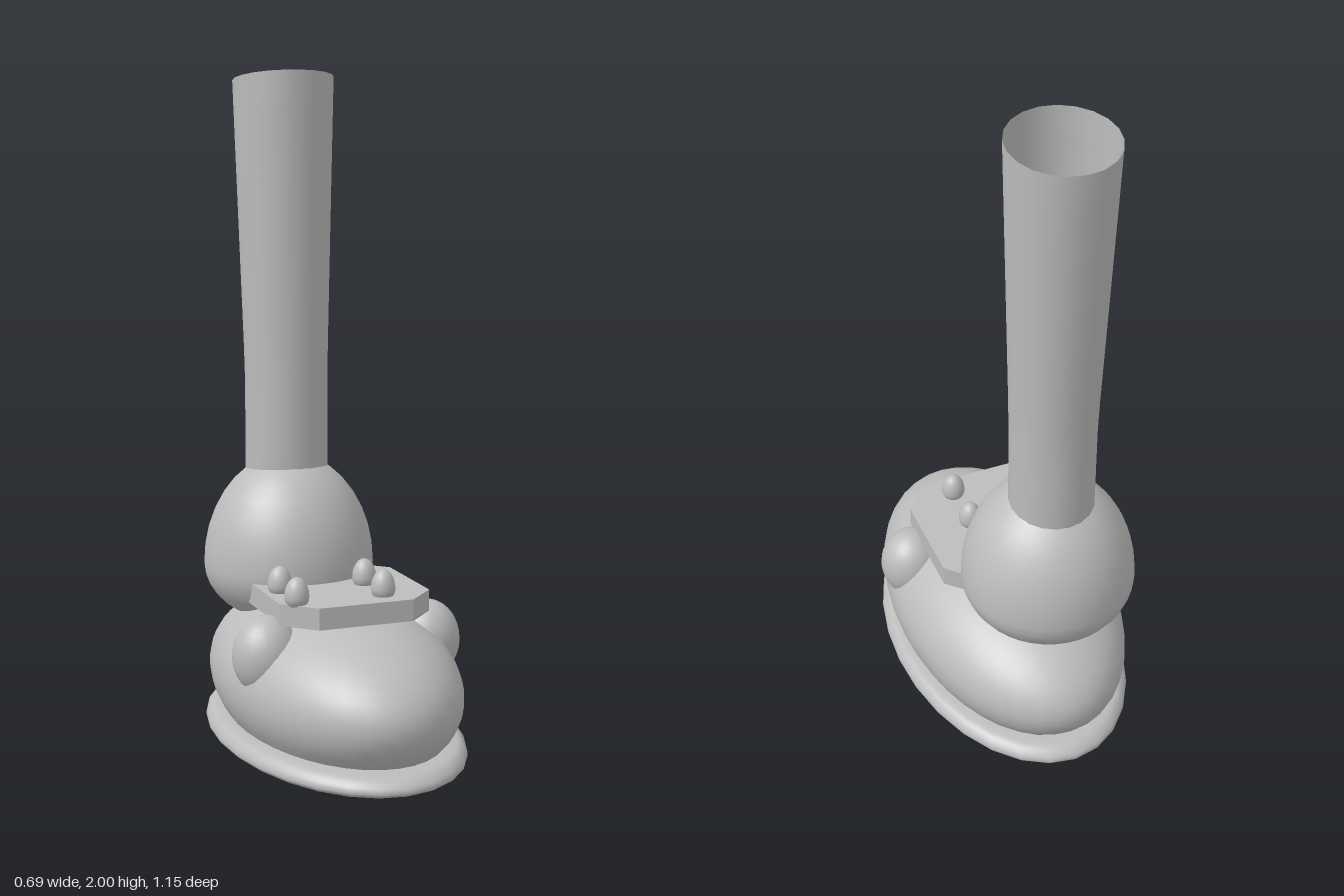
import * as THREE from 'three';

const grey = new THREE.MeshStandardMaterial({ color: 0xbcbcbc });
grey.name = 'grey';
const greyOpen = grey;
greyOpen.side = THREE.DoubleSide;

const vec = (points) => points.map(([x, y]) => new THREE.Vector2(x, y));

// Part of an ellipse as a lathe profile, bottom to top; lower and upper heights differ
function eggProfile(radius, lower, upper, start = -Math.PI / 2, steps = 18) {
  const points = [];
  for (let i = 0; i <= steps; i++) {
    const a = start + (Math.PI / 2 - start) * (i / steps);
    points.push([Math.max(0, radius * Math.cos(a)), (a < 0 ? lower : upper) * Math.sin(a)]);
  }
  return vec(points);
}

export function createModel() {
  const group = new THREE.Group();

  function add(name, geometry, x = 0, y = 0, z = 0) {
    const mesh = new THREE.Mesh(geometry, grey);
    mesh.name = name;
    mesh.position.set(x, y, z);
    group.add(mesh);
    return mesh;
  }

  // Sole: an oval dish with a rounded rim and a shallow point underneath
  const soleCurve = new THREE.SplineCurve(vec([
    [0, 0], [0.2, 0.014], [0.4, 0.034], [0.65, 0.05], [0.9, 0.072], [0.985, 0.088],
    [1, 0.1], [0.985, 0.116], [0.94, 0.132], [0.85, 0.137],
  ]));
  const soleProfile = soleCurve.getPoints(36);
  soleProfile[0].x = 0;
  soleProfile.push(new THREE.Vector2(0, 0.137));
  add('sole', new THREE.LatheGeometry(soleProfile, 28).scale(0.345, 1, 0.575));

  // Foot: an oval body cut off flat on the sole
  add('footBody', new THREE.LatheGeometry(eggProfile(1, 0.25, 0.24, -0.5), 40).scale(0.332, 1, 0.57), 0, 0.26, 0);

  // Rounded bumps on both sides of the foot
  for (const side of [-1, 1]) {
    add(side > 0 ? 'leftBump' : 'rightBump',
      new THREE.SphereGeometry(1, 24, 18).scale(0.097, 0.115, 0.095), side * 0.245, 0.375, 0.125);
  }

  // Eight-sided instep plate
  const plate = new THREE.Shape(vec([
    [-0.14, -0.27], [0.14, -0.27], [0.226, -0.184], [0.226, 0.104],
    [0.14, 0.19], [-0.14, 0.19], [-0.226, 0.104], [-0.226, -0.184],
  ]));
  const plateGeometry = new THREE.ExtrudeGeometry(plate, { depth: 0.062, bevelEnabled: false });
  add('instepPlate', plateGeometry.rotateX(-Math.PI / 2), 0, 0.473, 0);

  // Four egg-shaped studs on the plate
  for (const x of [-0.18, 0.078]) {
    for (const z of [0.055, 0.197]) {
      add('stud', new THREE.LatheGeometry(eggProfile(0.035, 0.035, 0.055, undefined, 12), 18), x, 0.555, z);
    }
  }

  // Ankle: an egg with a tall top and a flatter underside
  add('ankle', new THREE.LatheGeometry(eggProfile(0.255, 0.18, 0.33), 40), -0.05, 0.55, -0.237);

  // Leg: an open tube, straight below and widening above, with ends sloping to the back
  const bottom = 0.825, top = 2;
  const leg = new THREE.CylinderGeometry(1, 1, 1, 20, 12, true);
  const position = leg.attributes.position;
  for (let i = 0; i < position.count; i++) {
    const t = position.getY(i) + 0.5;
    const level = bottom + (top - bottom) * t;
    const flare = Math.max(0, (level - 1.15) / (top - 1.15));
    const radius = 0.123 + 0.025 * flare;
    const z = position.getZ(i);
    position.setXYZ(i, position.getX(i) * radius,
      level - (0.025 + 0.01 * t) * (1 - z) / 2,
      z * radius - 0.253 - 0.018 * flare);
  }
  leg.computeVertexNormals();
  // Match the normals where the tube closes
  const normal = leg.attributes.normal;
  for (let row = 0; row <= 12; row++) {
    const a = row * 21, b = a + 20;
    const n = new THREE.Vector3().fromBufferAttribute(normal, a)
      .add(new THREE.Vector3().fromBufferAttribute(normal, b)).normalize();
    normal.setXYZ(a, n.x, n.y, n.z);
    normal.setXYZ(b, n.x, n.y, n.z);
  }
  add('leg', leg, -0.05, 0, 0);

  return group;
}
